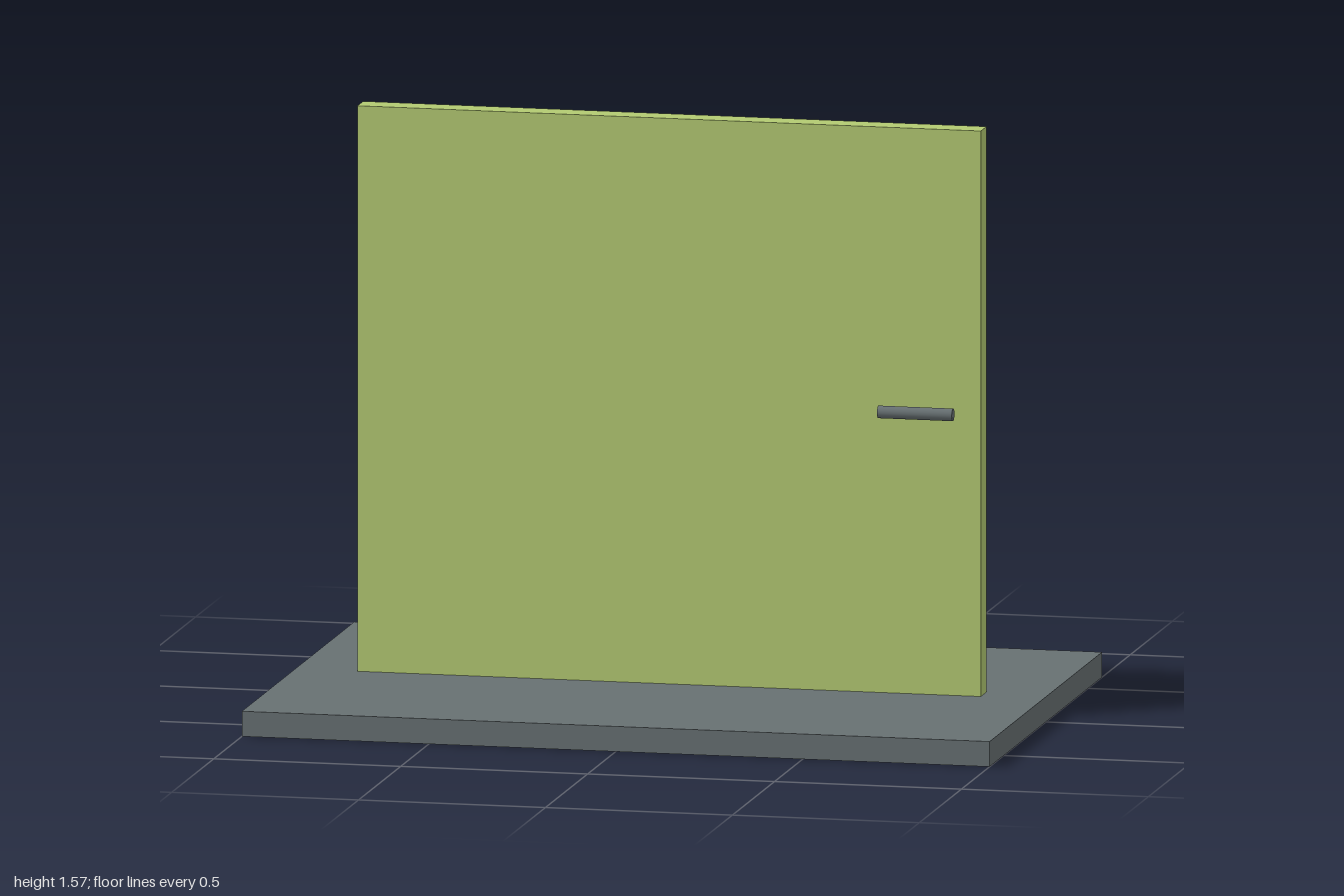
import * as THREE from 'three';

export function createModel() {
  const model = new THREE.Group();
  const green = new THREE.MeshStandardMaterial({ name: 'light green', color: 0xb3ca72 });
  const grey = new THREE.MeshStandardMaterial({ name: 'slate grey', color: 0x677072 });

  const add = (name, geometry, material, x, y, z) => {
    const mesh = new THREE.Mesh(geometry, material);
    mesh.name = name;
    mesh.position.set(x, y, z);
    model.add(mesh);
    return mesh;
  };

  const thickness = 0.0667;
  const panelHeight = 1.5;

  // Flat floor slab
  add('base', new THREE.BoxGeometry(2, thickness, 1.333), grey, 0, thickness / 2, 0);

  // Upright door panel standing on the slab
  add('doorPanel', new THREE.BoxGeometry(1.667, panelHeight, thickness), green,
    0, thickness + panelHeight / 2, 0);

  // Horizontal bar handle, set just in front of the panel
  const handle = add('handle', new THREE.CylinderGeometry(0.0167, 0.0167, 0.2, 16), grey,
    0.667, 0.817, 0.0667);
  handle.rotation.z = Math.PI / 2;

  return model;
}
